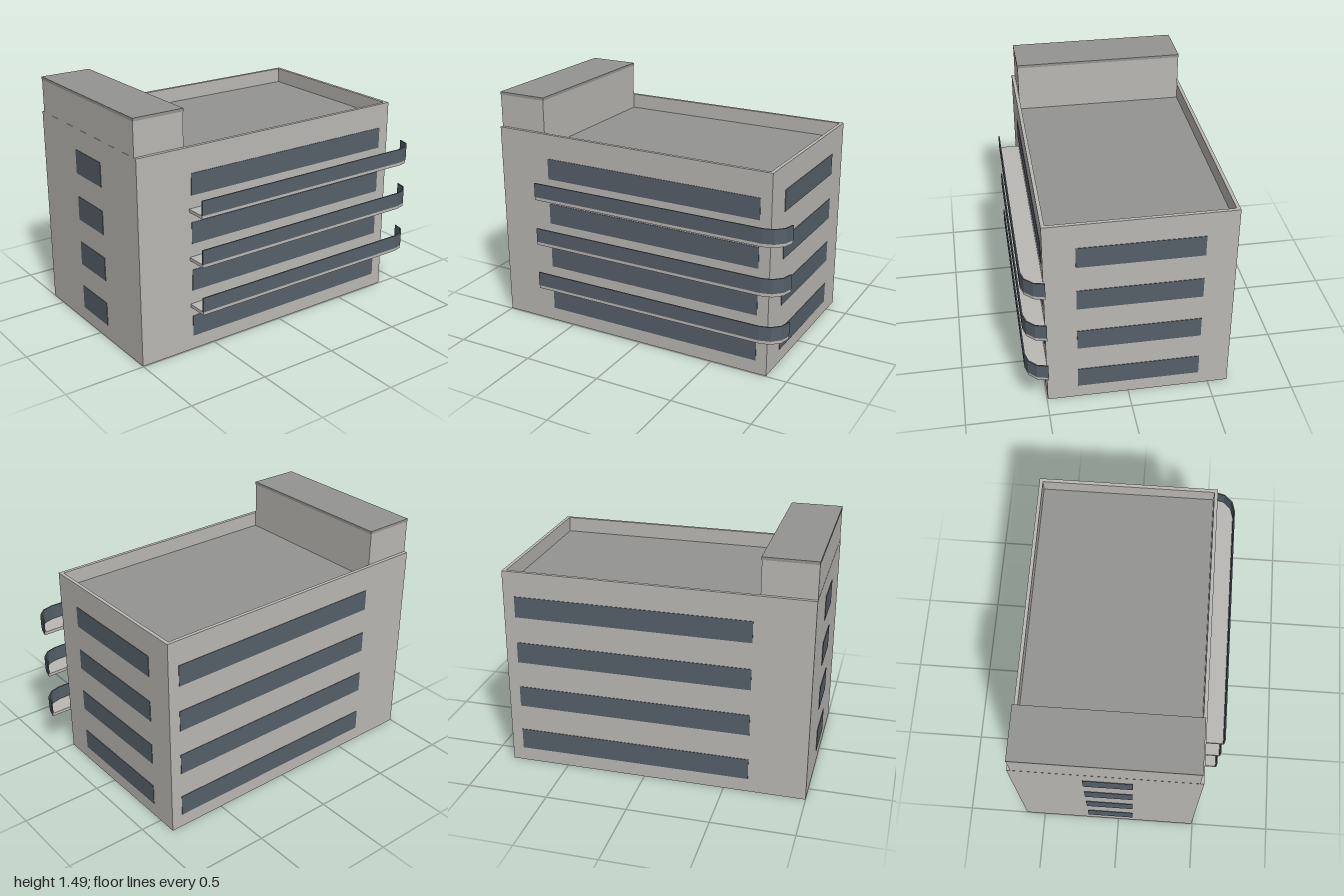
import * as THREE from 'three';

export function createModel() {
  const group = new THREE.Group();
  const mat = (name, color) => {
    const m = new THREE.MeshStandardMaterial({ color });
    m.name = name;
    return m;
  };
  const wall = mat('concrete', 0xbab8b4);
  const roof = mat('roofGrey', 0x949492);
  const glass = mat('slateGlass', 0x566069);

  const add = (name, geometry, material) => {
    const mesh = new THREE.Mesh(geometry, material);
    mesh.name = name;
    group.add(mesh);
    return mesh;
  };
  // Box given by its minimum and maximum corners
  const box = (name, material, x0, x1, y0, y1, z0, z1) => {
    const mesh = add(name, new THREE.BoxGeometry(x1 - x0, y1 - y0, z1 - z0), material);
    mesh.position.set((x0 + x1) / 2, (y0 + y1) / 2, (z0 + z1) / 2);
    return mesh;
  };
  // Plan outline in (x, z), extruded upwards from y0 to y1
  const extrudePlan = (name, material, shape, y0, y1) => {
    const g = new THREE.ExtrudeGeometry(shape, { depth: y1 - y0, bevelEnabled: false });
    g.rotateX(-Math.PI / 2);
    add(name, g, material).position.y = y0;
  };
  const plan = (pts) => new THREE.Shape(pts.map(([x, z]) => new THREE.Vector2(x, -z)));
  const rect = (x0, x1, z0, z1) => [[x0, z0], [x0, z1], [x1, z1], [x1, z0]];

  const L = -1, R = 0.865, B = -0.622, F = 0.495, top = 1.27, floor = 1.175, rim = 0.022;

  // Main block: hollow shell with a sunken roof deck
  const shell = plan(rect(L, R, B, F));
  shell.holes.push(plan(rect(L + rim, R - rim, B + rim, F - rim)));
  extrudePlan('outerWalls', wall, shell, 0, top);
  box('base', wall, L + rim, R - rim, 0, 0.02, B + rim, F - rim);
  box('roofDeck', roof, L + rim, R - rim, floor - 0.02, floor, B + rim, F - rim);

  // Rooftop stair house
  box('stairHouse', wall, L + 0.001, -0.68, floor, 1.475, B + rim, F - rim);
  box('stairHouseCap', roof, L, -0.677, 1.475, 1.493, B + rim - 0.002, F - rim + 0.002);

  // Ribbon windows on each storey
  const t = 0.003;
  for (let i = 0; i < 4; i++) {
    const y0 = 0.087 + i * 0.298, y1 = y0 + 0.133;
    box('frontWindow', glass, -0.648, 0.795, y0, y1, F - t, F + t);
    box('backWindow', glass, -0.648, 0.795, y0, y1, B - t, B + t);
    box('rightWindow', glass, R - t, R + t, y0, y1, -0.437, 0.308);
    box('leftWindow', glass, L - t, L + t, y0 + 0.005, y1 + 0.022, -0.2, 0.094);
  }

  // Balcony outline: straight front edge ending in a faceted quarter round
  const start = -0.663, cx = 0.868;
  const edge = (r) => {
    const pts = [[start, F + r]];
    for (let k = 0; k <= 3; k++) {
      const a = (k * Math.PI) / 6;
      pts.push([cx + r * Math.sin(a), F + r * Math.cos(a)]);
    }
    return pts;
  };
  const slab = plan([[start, F], ...edge(0.13)]);
  const railing = plan([...edge(0.132), ...edge(0.124).reverse()]);
  for (let i = 0; i < 3; i++) {
    const y = 0.282 + i * 0.3;
    extrudePlan('balconySlab', wall, slab, y, y + 0.02);
    extrudePlan('balconyRailing', glass, railing, y + 0.02, y + 0.11);
  }
  return group;
}
